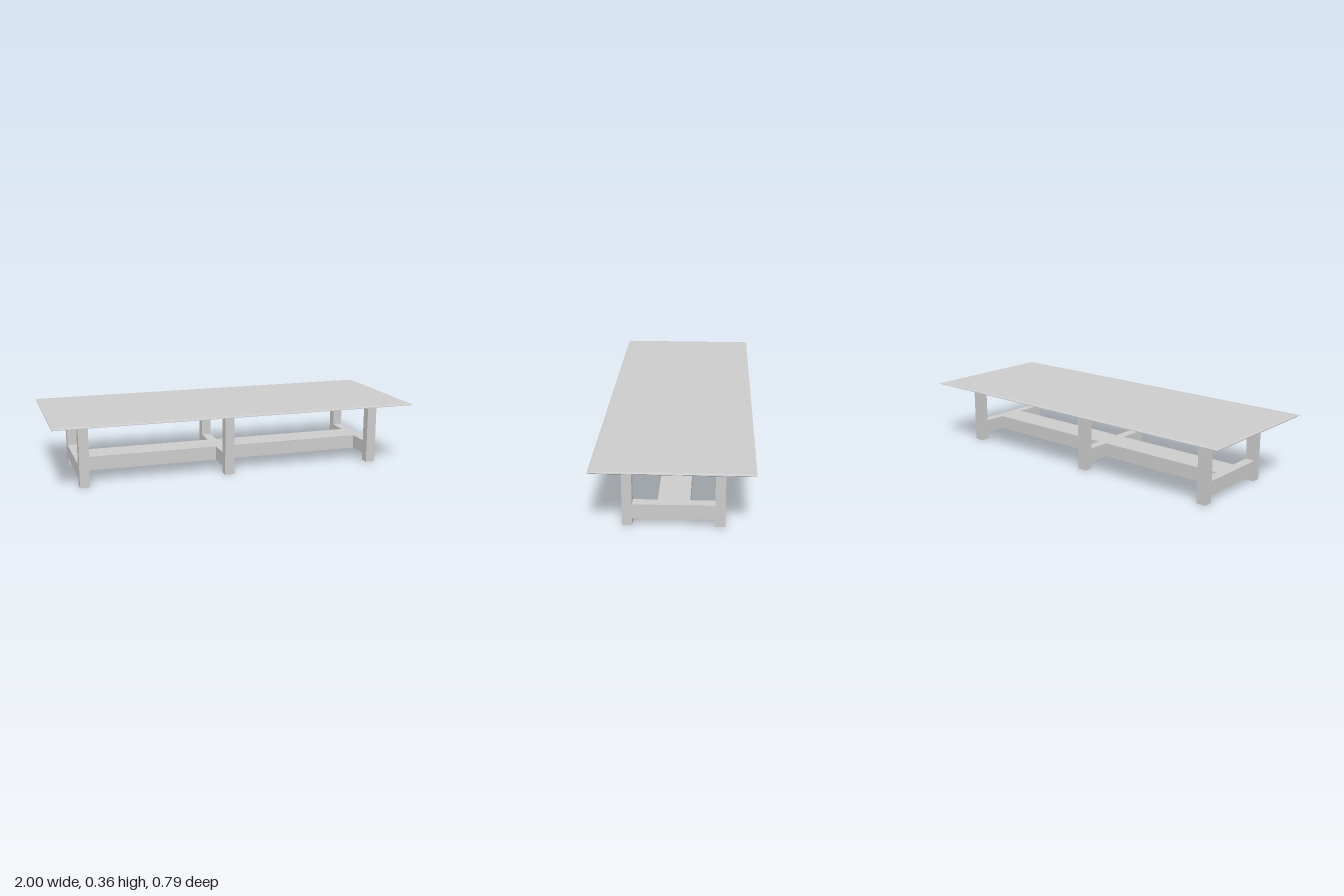
import * as THREE from 'three';

const material = new THREE.MeshStandardMaterial({ color: 0xcccccc, flatShading: true });

const LEG_OUT = 0.253, LEG_IN = 0.203, LEG_TOP = 0.35;
const RAIL_LOW = 0.04, RAIL_HIGH = 0.117, RAIL_HALF = 0.08;
// Each trestle as [min x, max x]
const trestles = [[-0.853, -0.8], [-0.056, -0.003], [0.8, 0.853]];

function addMesh(group, name, geometry) {
  const mesh = new THREE.Mesh(geometry, material);
  mesh.name = name;
  group.add(mesh);
  return mesh;
}

// H-shaped frame: two legs joined by a cross rail, extruded along x
function trestleGeometry(x0, x1) {
  const half = [
    [LEG_OUT, 0], [LEG_OUT, LEG_TOP], [LEG_IN, LEG_TOP], [LEG_IN, RAIL_HIGH],
  ];
  const outline = [
    ...half,
    ...half.slice().reverse().map(([z, y]) => [-z, y]),
    [-LEG_IN, 0], [-LEG_IN, RAIL_LOW], [LEG_IN, RAIL_LOW], [LEG_IN, 0],
  ];
  const shape = new THREE.Shape(outline.map(([z, y]) => new THREE.Vector2(z, y)));
  const geometry = new THREE.ExtrudeGeometry(shape, { depth: x1 - x0, bevelEnabled: false });
  return geometry.rotateY(Math.PI / 2).translate(x0, 0, 0);
}

// Thin slab with a softened rim, lofted from rectangular rings
function topGeometry() {
  const rings = [ // half x, half z, y
    [0.99, 0.363, 0.348], [0.997, 0.38, 0.3495], [1, 0.393, 0.3525],
    [1, 0.393, 0.3555], [0.997, 0.38, 0.3585], [0.99, 0.363, 0.36],
  ];
  const positions = [], index = [];
  for (const [x, z, y] of rings) positions.push(-x, y, z, x, y, z, x, y, -z, -x, y, -z);
  for (let r = 0; r < rings.length - 1; r++) {
    for (let i = 0; i < 4; i++) {
      const a = r * 4 + i, b = r * 4 + (i + 1) % 4;
      index.push(a, b, b + 4, a, b + 4, a + 4);
    }
  }
  const t = (rings.length - 1) * 4;
  index.push(0, 2, 1, 0, 3, 2, t, t + 1, t + 2, t, t + 2, t + 3);
  const geometry = new THREE.BufferGeometry();
  geometry.setAttribute('position', new THREE.Float32BufferAttribute(positions, 3));
  geometry.setIndex(index);
  const flat = geometry.toNonIndexed();
  flat.computeVertexNormals();
  return flat;
}

export function createModel() {
  const table = new THREE.Group();
  table.name = 'table';

  addMesh(table, 'tableTop', topGeometry());

  // Three trestles, with a broad stretcher between neighbours
  trestles.forEach(([x0, x1], i) => {
    addMesh(table, ['rightTrestle', 'middleTrestle', 'leftTrestle'][i], trestleGeometry(x0, x1));
    if (i === 0) return;
    const start = trestles[i - 1][1];
    const rail = new THREE.BoxGeometry(x0 - start, RAIL_HIGH - RAIL_LOW, RAIL_HALF * 2);
    addMesh(table, i === 1 ? 'rightStretcher' : 'leftStretcher', rail)
      .position.set((start + x0) / 2, (RAIL_LOW + RAIL_HIGH) / 2, 0);
  });

  return table;
}
